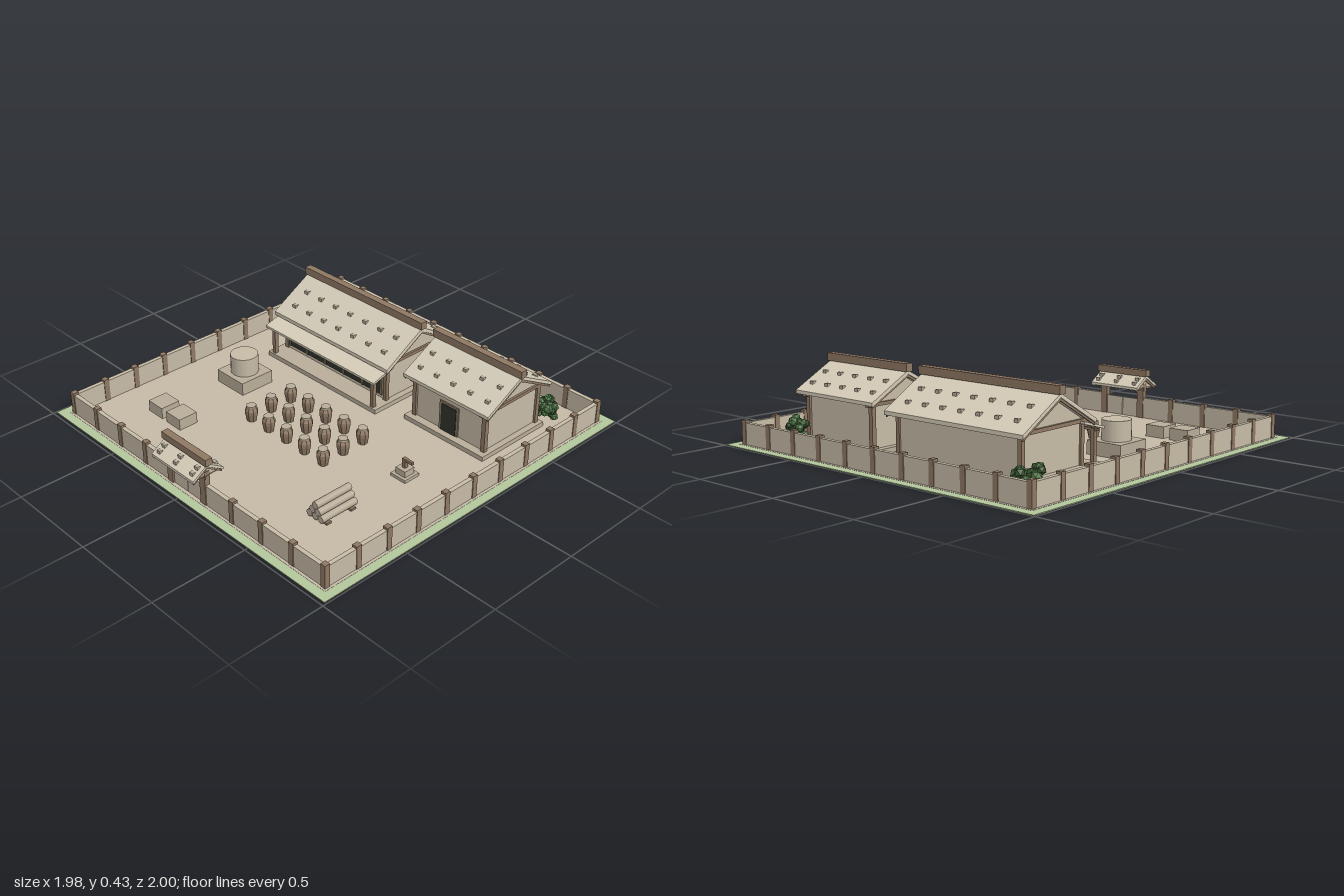
import * as THREE from 'three';

const mat = (name, color) => {
  const m = new THREE.MeshStandardMaterial({ color });
  m.name = name;
  return m;
};

export function createModel() {
  const grass = mat('grass', 0xb4c79c), earth = mat('earth', 0xc6b9a7), plaster = mat('plaster', 0xc6bba6);
  const thatch = mat('thatch', 0xd6cdb9), timber = mat('timber', 0x8e7863), stone = mat('stone', 0xb9ad99);
  const dark = mat('dark opening', 0x30322c), leaf = mat('leaf', 0x557d4b), leafDark = mat('dark leaf', 0x38552f);
  [leaf, leafDark].forEach(m => { m.flatShading = true; });

  const model = new THREE.Group();
  model.name = 'courtyard';
  const group = (name, parent = model) => {
    const g = new THREE.Group();
    g.name = name;
    parent.add(g);
    return g;
  };
  const add = (parent, name, geo, m, x = 0, y = 0, z = 0) => {
    const mesh = new THREE.Mesh(geo, m);
    mesh.name = name;
    mesh.position.set(x, y, z);
    parent.add(mesh);
    return mesh;
  };
  // Box given by its extents on each axis
  const box = (parent, name, m, x0, x1, y0, y1, z0, z1) =>
    add(parent, name, new THREE.BoxGeometry(x1 - x0, y1 - y0, z1 - z0), m, (x0 + x1) / 2, (y0 + y1) / 2, (z0 + z1) / 2);
  // Box standing on y0 and centred on x, z
  const post = (parent, name, m, x, z, w, y0, y1, d = w) =>
    box(parent, name, m, x - w / 2, x + w / 2, y0, y1, z - d / 2, z + d / 2);
  // Profile of (z, y) points, symmetric in z, run along x
  const alongX = (parent, name, m, pts, x0, x1, z) => {
    const shape = new THREE.Shape(pts.map(p => new THREE.Vector2(p[0], p[1])));
    const geo = new THREE.ExtrudeGeometry(shape, { depth: x1 - x0, bevelEnabled: false });
    geo.rotateY(Math.PI / 2);
    return add(parent, name, geo, m, x0, 0, z);
  };

  // Ground
  const ZC = -0.008, E = 0.945, W = 0.992;
  const ground = group('ground');
  box(ground, 'yard', earth, -E, E, 0, 0.006, ZC - E, ZC + E);
  for (const s of [-1, 1]) {
    const mid = s * (E + W) / 2, w = (W - E) / 2;
    box(ground, 'grassSide', grass, mid - w, mid + w, 0, 0.005, ZC - W, ZC + W);
    box(ground, 'grassEnd', grass, -E, E, 0, 0.005, ZC + mid - w, ZC + mid + w);
  }

  // Perimeter wall with timber posts
  const F = 0.92, wall = group('perimeterWall');
  const zB = ZC - F, zF = ZC + F;
  box(wall, 'backWall', plaster, -F, F, 0, 0.115, zB - 0.011, zB + 0.011);
  for (const s of [-1, 1]) {
    box(wall, 'sideWall', plaster, s * F - 0.011, s * F + 0.011, 0, 0.115, zB, zF);
    post(wall, 'frontWall', plaster, s * 0.52, zF, 0.8, 0, 0.115, 0.022);
    for (let i = 0; i <= 10; i++) post(wall, 'sidePost', timber, s * F, zB + i * 0.184, 0.029, 0, 0.127);
    for (let i = 1; i <= 3; i++) post(wall, 'frontPost', timber, s * (0.12 + i * 0.2), zF, 0.029, 0, 0.127);
  }
  for (let i = 1; i < 10; i++) post(wall, 'backPost', timber, -F + i * 0.184, zB, 0.029, 0, 0.127);

  // Gabled roof: slab, ridge beam and weight stones
  const roof = (parent, o) => {
    const { x0, x1, z, half, eave, peak, t, ridge, stonesX, stonesZ, s } = o;
    alongX(parent, 'roof', thatch,
      [[-half, eave], [0, peak], [half, eave], [half, eave - t], [0, peak - t], [-half, eave - t]], x0, x1, z);
    box(parent, 'ridgeBeam', timber, x0 - 0.009, x1 + 0.009, peak - 0.005, ridge, z - 0.019, z + 0.019);
    // Barge boards under the roof ends
    const b = half - 0.006, k = t + 0.001;
    for (const x of [x0 + 0.004, x1 - 0.012])
      alongX(parent, 'bargeBoard', timber, [[-b, eave - t], [0, peak - k], [b, eave - t],
        [b, eave - t - 0.01], [0, peak - t - 0.014], [-b, eave - t - 0.01]], x, x + 0.008, z);
    for (const x of stonesX) for (const d of stonesZ) for (const side of [-1, 1]) {
      const y = peak - (peak - eave) * d / half;
      post(parent, 'roofStone', stone, x, z + side * d, s, y - 0.012, y + 0.011, s * 0.85);
    }
  };
  const body = (parent, x0, x1, z, hw, y0, yw, yp) =>
    alongX(parent, 'walls', plaster, [[-hw, y0], [-hw, yw], [0, yp], [hw, yw], [hw, y0]], x0, x1, z);
  const series = (a, step, n) => Array.from({ length: n }, (_, i) => a + i * step);

  // Main hall with veranda
  const hall = group('mainHall'), Z = -0.485;
  box(hall, 'plinth', stone, -0.69, 0.125, 0, 0.03, -0.715, -0.17);
  body(hall, -0.655, 0.09, Z, 0.205, 0.03, 0.245, 0.365);
  roof(hall, { x0: -0.706, x1: 0.139, z: Z, half: 0.25, eave: 0.243, peak: 0.39, t: 0.02, ridge: 0.425,
    stonesX: series(-0.616, 0.111, 7), stonesZ: [0.096, 0.182], s: 0.024 });
  const lean = alongX(hall, 'verandaRoof', thatch,
    [[-0.125, 0.194], [0.02, 0.235], [0.02, 0.223], [-0.125, 0.182]], -0.69, 0.125, -0.28);
  lean.material = thatch;
  box(hall, 'verandaBeam', timber, -0.68, 0.115, 0.175, 0.187, -0.197, -0.183);
  for (const x of [-0.655, 0.09]) {
    post(hall, 'verandaPost', timber, x, -0.19, 0.022, 0.03, 0.185);
    for (const s of [-1, 1]) post(hall, 'cornerPost', timber, x, Z + s * 0.203, 0.022, 0.03, 0.235);
    box(hall, 'tieBeam', timber, x - 0.012, x + 0.012, 0.225, 0.243, Z - 0.235, Z + 0.235);
  }
  box(hall, 'openFront', dark, -0.63, 0.065, 0.05, 0.185, -0.281, -0.274);
  for (const x of series(-0.63, 0.139, 6)) post(hall, 'mullion', timber, x, -0.275, 0.008, 0.05, 0.185, 0.01);

  // Storehouse
  const store = group('storehouse');
  box(store, 'plinth', stone, 0.25, 0.77, 0, 0.03, -0.705, -0.25);
  body(store, 0.285, 0.737, Z, 0.19, 0.03, 0.26, 0.365);
  roof(store, { x0: 0.236, x1: 0.787, z: Z, half: 0.235, eave: 0.264, peak: 0.39, t: 0.018, ridge: 0.425,
    stonesX: series(0.295, 0.1085, 5), stonesZ: [0.09, 0.174], s: 0.022 });
  for (const x of [0.285, 0.737]) {
    for (const s of [-1, 1]) post(store, 'cornerPost', timber, x, Z + s * 0.19, 0.024, 0.03, 0.25);
    box(store, 'tieBeam', timber, x - 0.012, x + 0.012, 0.235, 0.252, Z - 0.225, Z + 0.225);
  }
  box(store, 'doorFrame', timber, 0.45, 0.572, 0.03, 0.192, -0.297, -0.288);
  box(store, 'doorway', dark, 0.463, 0.559, 0.03, 0.18, -0.291, -0.285);

  // Roofed gate
  const gate = group('gate');
  for (const s of [-1, 1]) {
    post(gate, 'gatePost', timber, s * 0.122, zF, 0.04, 0, 0.19, 0.03);
    post(gate, 'gateLeaf', plaster, s * 0.052, zF, 0.1, 0.006, 0.105, 0.012);
    box(gate, 'gateBracket', timber, s * 0.122 - 0.012, s * 0.122 + 0.012, 0.16, 0.176, zF - 0.075, zF + 0.075);
  }
  box(gate, 'gateLintel', timber, -0.145, 0.145, 0.15, 0.168, zF - 0.012, zF + 0.012);
  body(gate, -0.14, 0.14, zF, 0.07, 0.17, 0.172, 0.222);
  roof(gate, { x0: -0.153, x1: 0.153, z: zF, half: 0.087, eave: 0.18, peak: 0.237, t: 0.014, ridge: 0.267,
    stonesX: [-0.12, 0, 0.12], stonesZ: [0.034, 0.063], s: 0.022 });

  // Round vat on a stone platform
  const vat = group('vat');
  post(vat, 'platform', stone, -0.567, 0.1, 0.2, 0.006, 0.075);
  add(vat, 'drum', new THREE.CylinderGeometry(0.073, 0.073, 0.1, 16), plaster, -0.567, 0.125, 0.1);

  // Storage bins
  for (const x of [-0.628, -0.485]) post(model, 'bin', stone, x, 0.58, 0.108, 0.006, 0.066);

  // Rows of jars
  const jars = group('jars');
  const profile = [[0, 0], [0.024, 0], [0.034, 0.045], [0.034, 0.062], [0.025, 0.078], [0.025, 0.084], [0, 0.084]]
    .map(p => new THREE.Vector2(p[0], p[1]));
  const jarGeo = new THREE.LatheGeometry(profile, 8, Math.PI / 8).toNonIndexed();
  jarGeo.computeVertexNormals();
  const lidGeo = new THREE.CylinderGeometry(0.026, 0.026, 0.007, 8);
  lidGeo.rotateY(Math.PI / 8);
  for (const x of series(-0.262, 0.131, 5)) for (const z of series(0.051, 0.131, 3)) {
    add(jars, 'jar', jarGeo, timber, x, 0.005, z);
    add(jars, 'jarLid', lidGeo, stone, x, 0.09, z);
  }

  // Water pump
  const pump = group('waterPump');
  post(pump, 'pumpBase', stone, 0.595, 0.1, 0.094, 0.006, 0.022);
  post(pump, 'pumpBasin', stone, 0.595, 0.1, 0.062, 0.022, 0.055);
  post(pump, 'pumpPost', timber, 0.595, 0.1, 0.02, 0.055, 0.105);
  box(pump, 'pumpArm', timber, 0.588, 0.645, 0.09, 0.105, 0.093, 0.107);

  // Stacked logs on two bearers
  const logs = group('logStack');
  for (const z of [0.462, 0.612]) post(logs, 'bearer', timber, 0.565, z, 0.118, 0.006, 0.016, 0.03);
  const logGeo = new THREE.CylinderGeometry(0.0185, 0.0185, 0.214, 8);
  logGeo.rotateX(Math.PI / 2);
  [3, 2, 1].forEach((n, row) => {
    for (let i = 0; i < n; i++)
      add(logs, 'log', logGeo, stone, 0.565 + (i - (n - 1) / 2) * 0.037, 0.034 + row * 0.03, 0.538);
  });

  // Shrubs made of faceted clumps
  let seed = 7;
  const rnd = () => (seed = (seed * 16807) % 2147483647) / 2147483647;
  const shrub = (x, z, r, h) => {
    const g = group('shrub');
    for (let i = 0; i < 26; i++) {
      const a = i * 2.4, q = r * 0.72 * Math.sqrt(rnd()), size = r * (0.24 + 0.12 * rnd());
      const y = size + (h - 2 * size) * (1 - 0.45 * q / r) * (0.3 + 0.7 * rnd());
      const m = add(g, 'clump', new THREE.IcosahedronGeometry(size, 0), i % 2 ? leaf : leafDark,
        x + q * Math.cos(a), y, z + q * Math.sin(a));
      m.rotation.set(rnd() * 3, rnd() * 3, 0);
    }
  };
  shrub(-0.755, -0.755, 0.088, 0.172);
  shrub(0.752, -0.755, 0.07, 0.165);

  return model;
}
